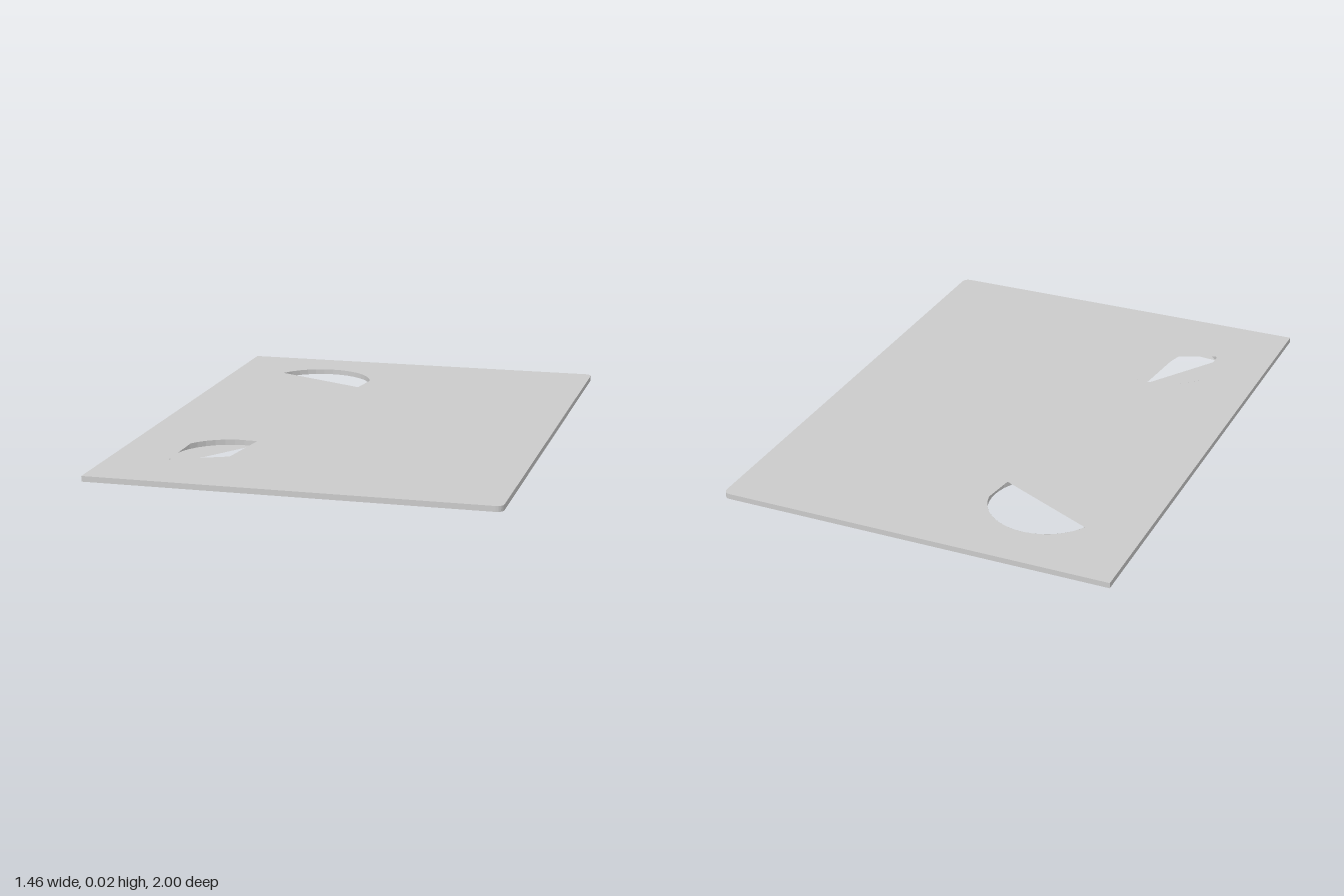
import * as THREE from 'three';

const W = 0.73, D = 1, H = 0.02, R = 0.025;
const HOLE_R = 0.205, HOLE_X = -0.34, BACK_Z = -0.615, FRONT_Z = 0.6;
const material = new THREE.MeshStandardMaterial({ color: 0xcccccc, side: THREE.DoubleSide });

// Points [x, z] on an arc; angles in degrees, running from +x toward +z
function arc(cx, cz, r, from, to, steps) {
  return Array.from({ length: steps + 1 }, (_, i) => {
    const a = THREE.MathUtils.degToRad(from + (to - from) * i / steps);
    return [cx + r * Math.cos(a), cz + r * Math.sin(a)];
  });
}

// Flat sheet with holes, facing up or down
function sheet(name, outline, holes, y, up) {
  const s = up ? -1 : 1;
  const vectors = pts => pts.map(([x, z]) => new THREE.Vector2(x, s * z));
  const shape = new THREE.Shape(vectors(outline));
  for (const h of holes) shape.holes.push(new THREE.Path(vectors(h)));
  const mesh = new THREE.Mesh(new THREE.ShapeGeometry(shape).rotateX(s * Math.PI / 2), material);
  mesh.position.y = y;
  mesh.name = name;
  return mesh;
}

// Upright band along a closed loop, facing outward or into a hole
function wall(name, loop, outward) {
  const pos = [];
  loop.forEach((p, i) => {
    const q = loop[(i + 1) % loop.length];
    const [a, b] = outward ? [q, p] : [p, q];
    pos.push(a[0], 0, a[1], b[0], 0, b[1], b[0], H, b[1]);
    pos.push(a[0], 0, a[1], b[0], H, b[1], a[0], H, a[1]);
  });
  const geometry = new THREE.BufferGeometry();
  geometry.setAttribute('position', new THREE.Float32BufferAttribute(pos, 3));
  geometry.computeVertexNormals();
  const mesh = new THREE.Mesh(geometry, material);
  mesh.name = name;
  return mesh;
}

export function createModel() {
  const group = new THREE.Group();
  group.name = 'panel';

  // Plate outline: rounded corners on the +x side only
  const outline = [
    [-W, -D],
    ...arc(W - R, -D + R, R, -90, 0, 4),
    ...arc(W - R, D - R, R, 0, 90, 4),
    [-W, D],
  ];
  const backCircle = arc(HOLE_X, BACK_Z, HOLE_R, 0, 350, 35);
  const frontCircle = arc(HOLE_X, FRONT_Z, HOLE_R, 0, 350, 35);

  // The upper sheet covers part of both round holes
  const backUpper = [...arc(HOLE_X, BACK_Z, HOLE_R, 207, 350, 20), [-0.155, -0.53]];
  const frontUpper = [[-0.515, 0.72], ...arc(HOLE_X, FRONT_Z, HOLE_R, 212, 262, 8), [-0.29, 0.4], [-0.32, 0.63]];
  // The lower sheet leaves the back hole open and only a sliver of the front one
  const frontLower = [[-0.515, 0.72], [-0.322, 0.42], [-0.345, 0.64], [-0.37, 0.735]];

  group.add(
    sheet('upperSheet', outline, [backUpper, frontUpper], H, true),
    sheet('lowerSheet', outline, [backCircle, frontLower], 0, false),
    wall('outerEdge', outline, true),
    wall('backHoleWall', backCircle, false),
    wall('frontHoleWall', frontCircle, false),
  );
  return group;
}
